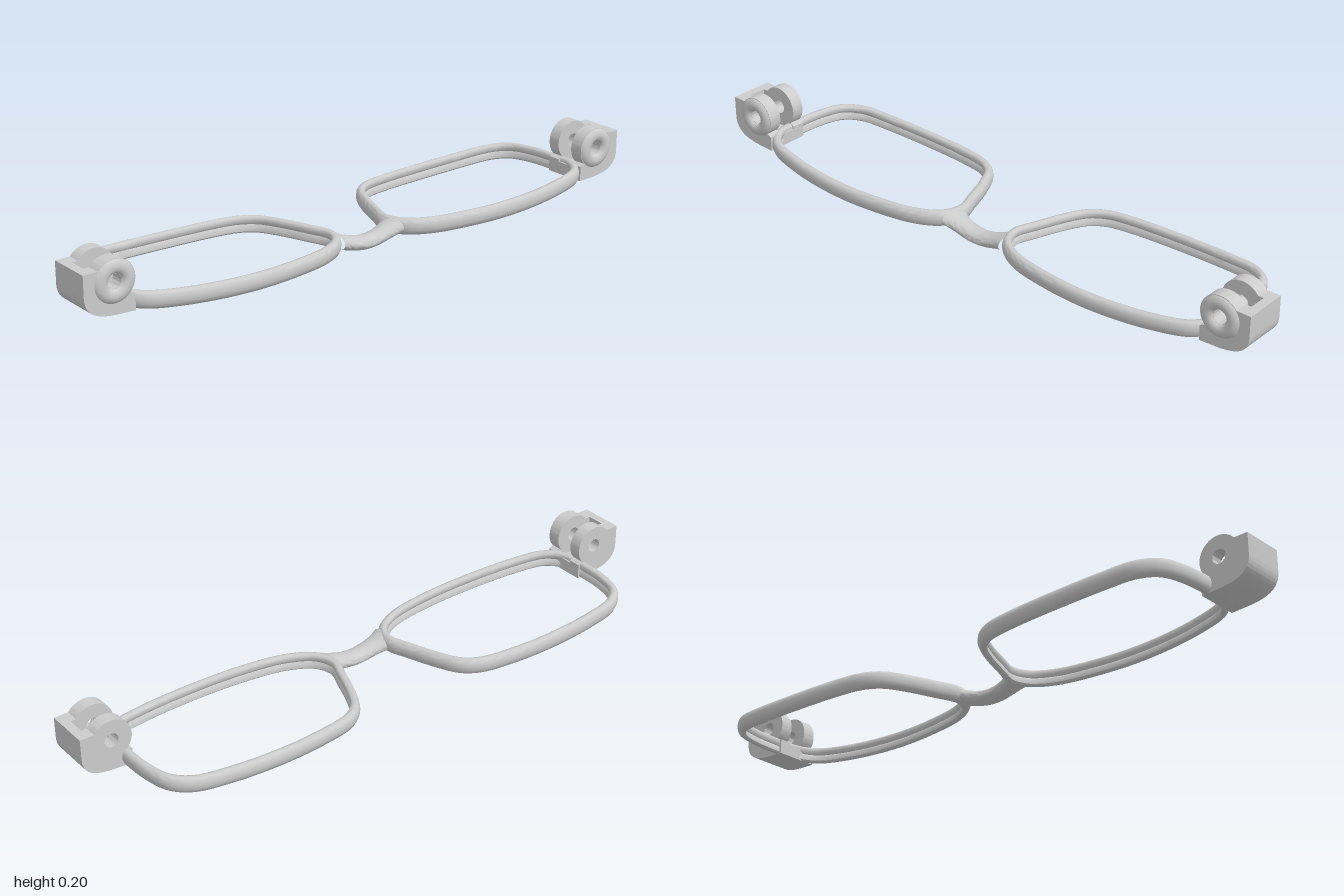
import * as THREE from 'three';
import { toCreasedNormals } from 'three/addons/utils/BufferGeometryUtils.js';

const material = new THREE.MeshStandardMaterial({ color: 0xcccccc });

// Joins rings of points (each counter-clockwise about the travel direction) into a skin
function skin(rings, closed, crease) {
  const n = rings[0].length, index = [];
  const count = closed ? rings.length : rings.length - 1;
  for (let i = 0; i < count; i++) {
    const k = (i + 1) % rings.length;
    for (let j = 0; j < n; j++) {
      const m = (j + 1) % n;
      const a = i * n + j, b = i * n + m, c = k * n + m, d = k * n + j;
      index.push(a, b, c, a, c, d);
    }
  }
  const geo = new THREE.BufferGeometry().setFromPoints(rings.flat());
  geo.setIndex(index);
  geo.computeVertexNormals();
  return toCreasedNormals(geo, crease);
}

// Reflects a geometry in x and keeps its faces outward
function mirrored(source) {
  const geo = source.index ? source.toNonIndexed() : source.clone();
  geo.scale(-1, 1, 1);
  for (const attr of Object.values(geo.attributes)) {
    const s = attr.itemSize, arr = attr.array;
    for (let t = 0; t < attr.count; t += 3) {
      for (let k = 0; k < s; k++) {
        const p = (t + 1) * s + k, q = (t + 2) * s + k;
        [arr[p], arr[q]] = [arr[q], arr[p]];
      }
    }
  }
  return geo;
}

// Rim: a grooved section swept around the lens opening, rising toward the temple
function rimGeometry() {
  const path = new THREE.CatmullRomCurve3([
    [0.5, -0.221], [0.68, -0.213], [0.78, -0.195], [0.83, -0.155], [0.853, -0.08],
    [0.859, 0.03], [0.855, 0.1], [0.815, 0.157], [0.7, 0.192], [0.5, 0.211],
    [0.33, 0.202], [0.2, 0.175], [0.128, 0.13], [0.105, 0.07], [0.127, 0],
    [0.165, -0.1], [0.2, -0.162], [0.25, -0.195], [0.34, -0.212],
  ].map(([x, z]) => new THREE.Vector3(x, 0, z)), true, 'centripetal');
  // u points away from the lens, v points up
  const section = [
    [0.014, -0.008], [0.015, 0.004], [0.013, 0.016], [0.008, 0.024], [0, 0.027],
    [-0.009, 0.025], [-0.013, 0.02], [-0.013, 0.008], [-0.007, 0],
    [-0.013, -0.008], [-0.013, -0.021], [-0.008, -0.026], [0, -0.026], [0.009, -0.02],
  ];
  const rings = [], steps = 120;
  for (let i = 0; i < steps; i++) {
    const p = path.getPointAt(i / steps), t = path.getTangentAt(i / steps);
    const y = 0.045 + 0.021 * Math.max(0, (p.x - 0.4) / 0.45) ** 2;
    rings.push(section.map(([u, v]) => new THREE.Vector3(p.x + t.z * u, y + v, p.z - t.x * u)));
  }
  return skin(rings, true, 0.75);
}

// Bridge: oval sections that narrow and dip in the middle
function bridgeGeometry() {
  const rings = [], steps = 24, sides = 20;
  for (let i = 0; i <= steps; i++) {
    const s = (i / steps) * 2 - 1, f = Math.abs(s);
    const z = 0.107 - 0.009 * f ** 3, halfZ = 0.033 + 0.021 * f ** 4;
    const y = 0.021 + 0.026 * f * f * (1.5 - 0.5 * f), halfY = 0.021 + 0.003 * f;
    const ring = [];
    for (let j = 0; j < sides; j++) {
      const a = (j / sides) * Math.PI * 2;
      ring.push(new THREE.Vector3(s * 0.112, y + halfY * Math.sin(a), z - halfZ * Math.cos(a)));
    }
    rings.push(ring);
  }
  return skin(rings, false, 1);
}

const PIN = { x: 0.903, y: 0.14, r: 0.065, hole: 0.022 };

// Shared underside and outer wall of the hinge profile
function hingeBase() {
  return new THREE.Shape()
    .moveTo(0.84, 0.04)
    .lineTo(0.9, 0.043)
    .bezierCurveTo(0.955, 0.047, 1, 0.06, 1, 0.115)
    .lineTo(1, 0.18);
}

function plate(shape, z0, z1) {
  const geo = new THREE.ExtrudeGeometry(shape, { depth: z1 - z0, bevelEnabled: false, curveSegments: 24 });
  geo.translate(0, 0, z0);
  return toCreasedNormals(geo, 0.6);
}

function hingeGeometries() {
  // Knuckle cheek: round eye with pin hole
  const cheek = hingeBase();
  const start = Math.asin((0.18 - PIN.y) / PIN.r);
  cheek.absarc(PIN.x, PIN.y, PIN.r, start, Math.PI * 1.24, false);
  cheek.lineTo(0.84, 0.088);
  cheek.closePath();
  const hole = new THREE.Path().absarc(PIN.x, PIN.y, PIN.hole, 0, Math.PI * 2, true);
  cheek.holes.push(hole);

  // Slot between the cheeks: floor and end wall only
  const slot = hingeBase()
    .lineTo(0.972, 0.18)
    .lineTo(0.972, 0.13)
    .quadraticCurveTo(0.965, 0.08, 0.91, 0.076)
    .lineTo(0.84, 0.08)
    .closePath();

  // Domed ring on the front cheek
  const dome = [[0.064, 0], [0.06, 0.006], [0.051, 0.011], [0.04, 0.013], [0.03, 0.01], [0.025, 0.005], [PIN.hole, 0]];
  const boss = new THREE.LatheGeometry(dome.map(([r, h]) => new THREE.Vector2(r, h)), 40);
  boss.rotateX(Math.PI / 2);
  boss.translate(PIN.x, PIN.y, 0.159);

  return {
    RearKnuckle: plate(cheek, 0.019, 0.06),
    HingeBody: plate(slot, 0.06, 0.117),
    FrontKnuckle: plate(cheek, 0.117, 0.16),
    KnuckleDome: boss,
  };
}

export function createModel() {
  const model = new THREE.Group();
  model.name = 'spectacleFrame';
  const add = (geometry, name) => {
    const mesh = new THREE.Mesh(geometry, material);
    mesh.name = name;
    model.add(mesh);
  };

  add(bridgeGeometry(), 'bridge');
  const parts = { Rim: rimGeometry(), ...hingeGeometries() };
  for (const [name, geometry] of Object.entries(parts)) {
    add(geometry, 'left' + name);
    add(mirrored(geometry), 'right' + name);
  }
  return model;
}
